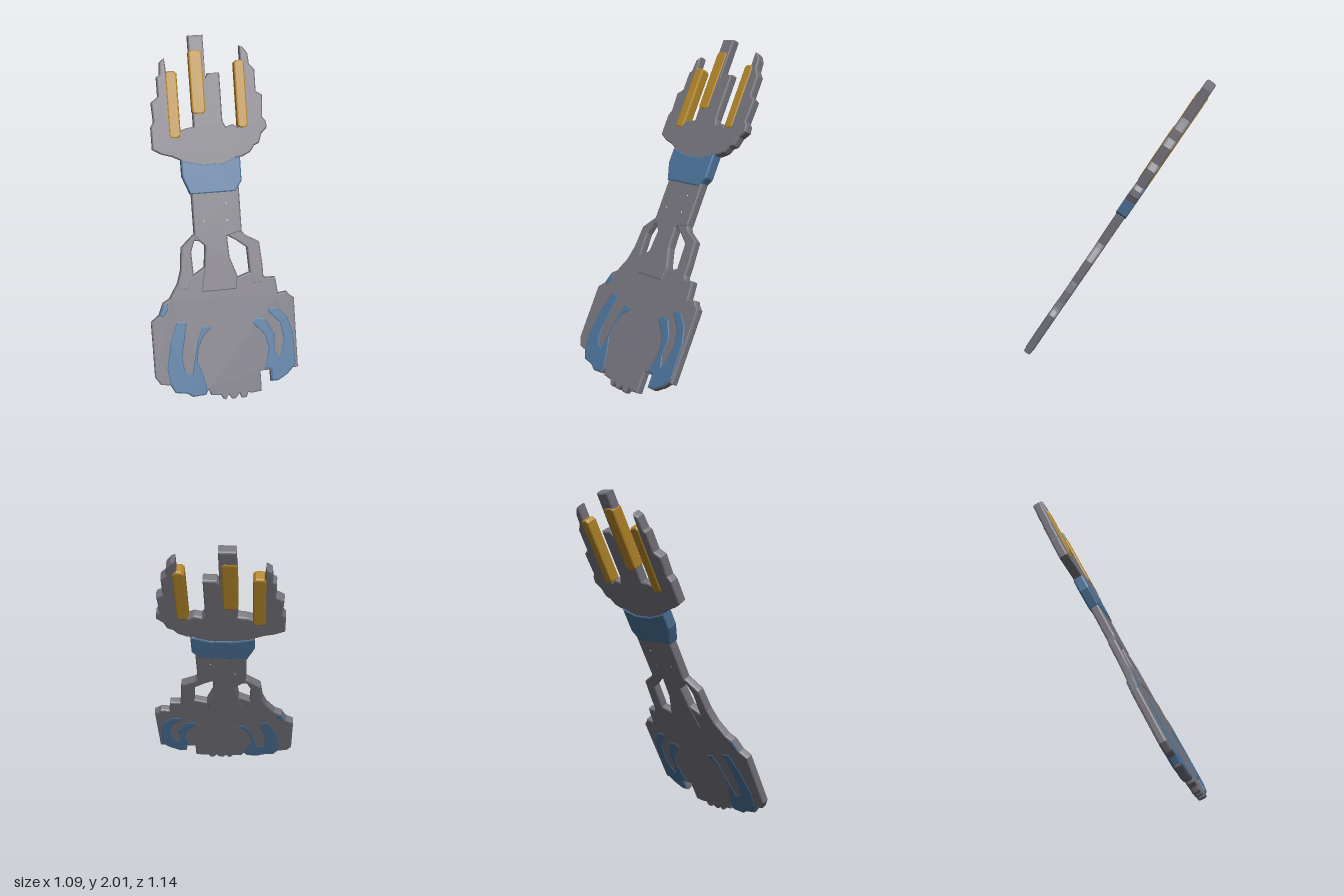
import * as THREE from 'three';

const S = 1 / 163.5; // outline units to model units

const grey = new THREE.MeshStandardMaterial({ color: 0x74727a });
grey.name = 'grey metal';
const blue = new THREE.MeshStandardMaterial({ color: 0x4a7096 });
blue.name = 'blue paint';
const gold = new THREE.MeshStandardMaterial({ color: 0xb08428 });
gold.name = 'gold';

// Bevelled plate from an outline, centred on its own mid-plane
function plate(name, points, thickness, material, holes = []) {
  const shape = new THREE.Shape(points.map(([x, y]) => new THREE.Vector2(x * S, y * S)));
  for (const [x, y, r] of holes) {
    shape.holes.push(new THREE.Path().absarc(x * S, y * S, r * S, 0, Math.PI * 2, true));
  }
  const bevel = 0.012;
  const geometry = new THREE.ExtrudeGeometry(shape, {
    depth: thickness - 2 * bevel, curveSegments: 5,
    bevelThickness: bevel, bevelSize: 0.009, bevelOffset: -0.009, bevelSegments: 2,
  });
  geometry.translate(0, 0, bevel - thickness / 2);
  const mesh = new THREE.Mesh(geometry, material);
  mesh.name = name;
  return mesh;
}

// Bar with clipped corners
function bar(name, x0, x1, y0, y1) {
  const c = 2.5;
  return plate(name, [
    [x0 + c, y0], [x1 - c, y0], [x1, y0 + c], [x1, y1 - c],
    [x1 - c, y1], [x0 + c, y1], [x0, y1 - c], [x0, y0 + c],
  ], 0.066, gold);
}

export function createModel() {
  const model = new THREE.Group();
  model.name = 'prongedBlade';

  // Broad blade with a ragged lower edge
  const blade = plate('blade', [
    [74, 26], [69, 26], [63, 20], [53, 14], [45, 14], [45, 26], [35, 26], [35, 5], [25, 4],
    [21, 5], [19, 0], [14, 0], [12, 5], [8, 0], [4, 0], [1, 5], [-2, 0], [-5, 1], [-7, 5],
    [-17, 6], [-19, 12], [-22, 7], [-35, 6], [-41, 10], [-53, 12], [-56, 20], [-67, 22],
    [-72, 30], [-72, 86], [-64, 92], [-59, 104], [-52, 108], [-49, 113], [-44, 121],
    [-39, 132], [-26, 130], [-13, 138], [12, 138], [18, 124], [30, 128], [42, 128],
    [46, 121], [56, 121], [58, 104], [67, 105], [69, 102], [74, 98],
  ], 0.048, grey);

  // Painted bands, showing on both faces of the blade
  const leftBand = plate('leftBand', [
    [46, 91], [56, 90], [66, 80], [71, 64], [72, 30], [63, 20.5], [53, 14.5], [45.5, 15],
    [45.5, 27], [38, 28], [41, 36], [44, 50], [41, 63], [29, 76], [33, 82], [43, 80],
    [52, 64], [51, 46], [54, 38], [57, 44], [60, 58], [57, 74], [46, 86],
  ], 0.054, blue);
  const rightBand = plate('rightBand', [
    [-11, 76], [-21, 79], [-27, 66], [-32, 44], [-35, 30], [-41, 34], [-43, 48], [-39, 68],
    [-36, 84], [-47, 85], [-55, 64], [-60, 38], [-58, 22], [-53, 12.5], [-41, 10.5],
    [-35, 6.5], [-22, 7.5], [-20, 14], [-24, 32], [-28, 42], [-26, 56], [-20, 68],
  ], 0.054, blue);
  const patch = plate('edgePatch', [
    [-54, 105], [-59, 103], [-63.5, 92], [-59, 90], [-54, 97],
  ], 0.054, blue);

  // Bent struts either side of the stem
  const leftStrut = plate('leftStrut', [
    [44, 116], [44, 133], [42, 158], [28, 166], [22, 174], [11, 170], [11, 166],
    [19, 161], [29, 153], [30, 130], [32, 116],
  ], 0.05, grey);
  const rightStrut = plate('rightStrut', [
    [-45, 116], [-39, 136], [-37, 158], [-24, 170], [-16, 172], [-13, 162],
    [-23, 164], [-27, 153], [-26, 130], [-32, 116],
  ], 0.05, grey);

  // Shaft narrowing into the stem, with small drilled holes
  const shaft = plate('shaft', [
    [25, 214], [25, 170], [10, 166], [11, 145], [18, 125], [16, 112], [-20, 112],
    [-15, 138], [-13, 158], [-23, 168], [-23, 214],
  ], 0.056, grey, [[11, 199, 2.2], [11, 182, 2.2], [-12, 183, 2.2]]);

  // Collar
  const collar = plate('collar', [
    [28, 245], [28, 220], [21, 210], [-24, 210], [-31, 228], [-31, 244], [-10, 239], [10, 239],
  ], 0.068, blue);

  // Head with stepped outer prongs and a double centre prong
  const head = plate('head', [
    [24, 232], [24, 243], [31, 244], [39, 248], [43, 254], [48, 256], [51, 265], [57, 271],
    [56, 278], [53, 281], [54, 303], [48, 307], [48, 328], [43, 334], [42, 344], [38, 350],
    [34, 352], [34, 338], [36, 330], [36, 275], [28, 273], [23, 276], [16, 274], [13, 280],
    [13, 327], [1, 327], [-1, 323], [-1, 364], [-16, 364], [-16, 276], [-24, 275],
    [-29, 273], [-37, 270], [-39, 331], [-40, 344], [-45, 340], [-46, 328], [-49, 326],
    [-49, 307], [-56, 302], [-55, 283], [-58, 278], [-58, 256], [-49, 251], [-39, 248],
    [-31, 244], [-29, 232],
  ], 0.056, grey);

  model.add(blade, leftBand, rightBand, patch, leftStrut, rightStrut, shaft, collar, head,
    bar('leftInlay', 27.5, 38, 272, 338),
    bar('centreInlay', -16.5, -3, 288, 350),
    bar('rightInlay', -40.5, -29, 266, 331));

  // Lean the whole piece: width, length and face directions
  const width = new THREE.Vector3(0.791, 0, 0.612).normalize();
  const length = new THREE.Vector3(0.269, 0.898, -0.348).normalize();
  const face = new THREE.Vector3().crossVectors(width, length).normalize();
  model.quaternion.setFromRotationMatrix(new THREE.Matrix4().makeBasis(width, length, face));
  model.position.set(-0.235, 0.003, 0.354);

  const root = new THREE.Group();
  root.name = 'leaningProngedBlade';
  root.add(model);
  return root;
}
